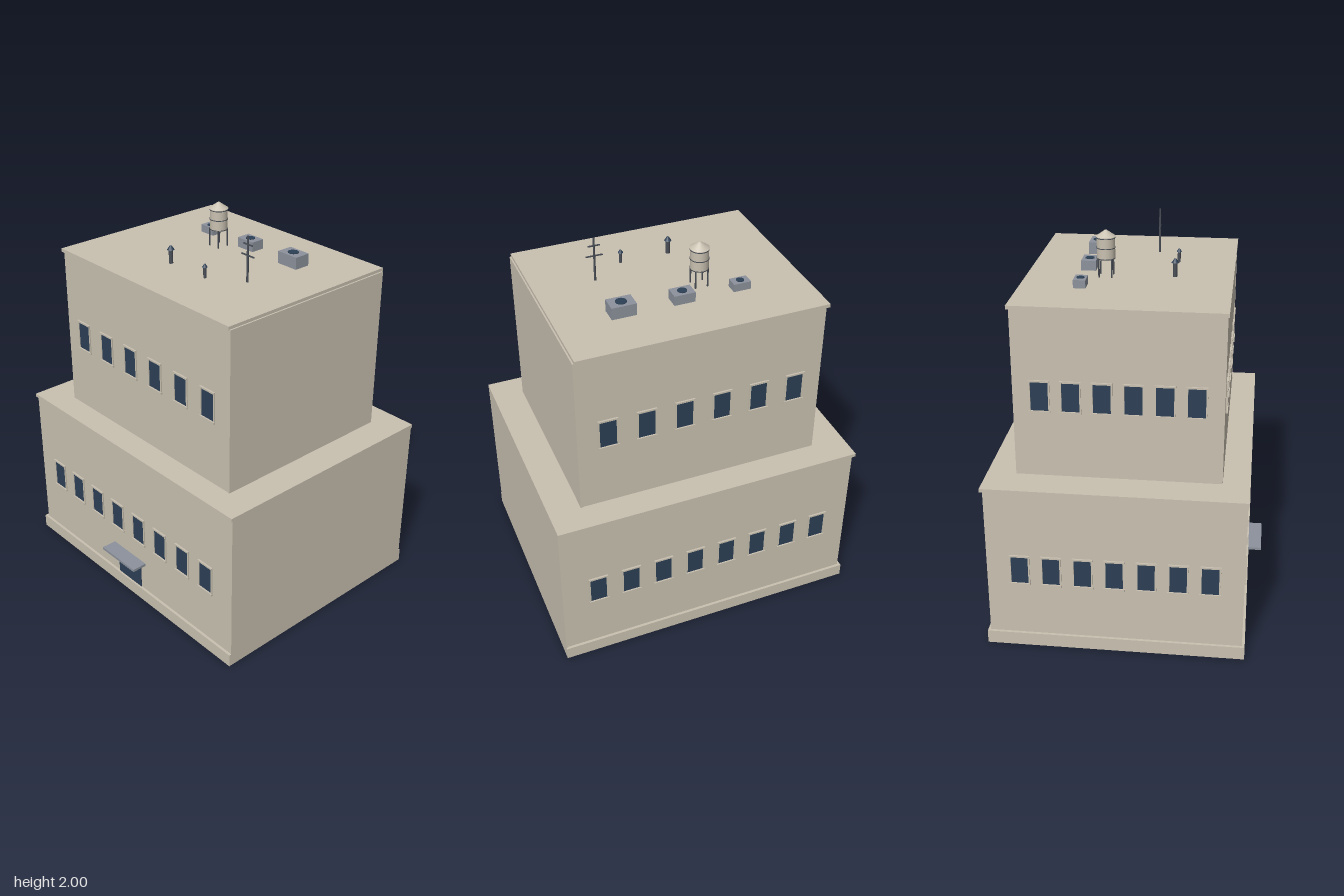
import * as THREE from 'three';

const mat = (name, color) => {
  const m = new THREE.MeshStandardMaterial({ color });
  m.name = name;
  return m;
};

export function createModel() {
  const stone = mat('stone', 0xc9c1b1);
  const glass = mat('dark glass', 0x2c3f55);
  const metal = mat('grey metal', 0x8c929c);
  const darkMetal = mat('dark metal', 0x4a4f57);

  const model = new THREE.Group();
  model.name = 'building';

  const add = (parent, name, geometry, material, x, y, z) => {
    const mesh = new THREE.Mesh(geometry, material);
    mesh.name = name;
    mesh.position.set(x, y, z);
    parent.add(mesh);
    return mesh;
  };
  // Box given by its limits on each axis
  const block = (parent, name, material, [x0, x1], [y0, y1], [z0, z1]) =>
    add(parent, name, new THREE.BoxGeometry(x1 - x0, y1 - y0, z1 - z0), material,
      (x0 + x1) / 2, (y0 + y1) / 2, (z0 + z1) / 2);
  const tube = (parent, name, material, r0, r1, y0, y1, x, z, sides = 12) =>
    add(parent, name, new THREE.CylinderGeometry(r1, r0, y1 - y0, sides), material, x, (y0 + y1) / 2, z);
  const group = (name, x = 0, y = 0, z = 0, parent = model) => {
    const g = new THREE.Group();
    g.name = name;
    g.position.set(x, y, z);
    parent.add(g);
    return g;
  };

  // Storey blocks, each with a cornice and a plain party wall on the left side
  block(model, 'plinth', stone, [-0.812, 0.808], [0, 0.07], [-0.688, 0.621]);
  block(model, 'lowerBody', stone, [-0.797, 0.8], [0.01, 0.88], [-0.674, 0.607]);
  block(model, 'lowerPartyWall', stone, [0.798, 0.808], [0.01, 0.885], [-0.678, 0.609]);
  block(model, 'lowerCornice', stone, [-0.81, 0.808], [0.872, 0.89], [-0.686, 0.614]);
  block(model, 'upperBody', stone, [-0.63, 0.636], [0.88, 1.755], [-0.54, 0.478]);
  block(model, 'upperPartyWall', stone, [0.634, 0.645], [0.88, 1.75], [-0.543, 0.48]);
  block(model, 'upperCornice', stone, [-0.644, 0.637], [1.747, 1.766], [-0.55, 0.484]);

  // One window facing +z, origin at the middle of the pane
  const windowAt = (row, x) => {
    const w = group('window', x, 0, 0, row);
    block(w, 'pane', glass, [-0.044, 0.044], [-0.074, 0.074], [-0.002, 0.002]);
    block(w, 'lintel', stone, [-0.051, 0.051], [0.074, 0.083], [-0.002, 0.009]);
    block(w, 'sill', stone, [-0.053, 0.053], [-0.085, -0.074], [-0.002, 0.01]);
    for (const s of [-1, 1])
      add(w, 'jamb', new THREE.BoxGeometry(0.008, 0.148, 0.008), stone, s * 0.047, 0, 0.002);
  };
  const windowRow = (name, count, spacing, x, y, z, turn) => {
    const row = group(name, x, y, z);
    row.rotation.y = turn;
    for (let i = 0; i < count; i++) windowAt(row, (i - (count - 1) / 2) * spacing);
  };
  windowRow('lowerFrontWindows', 8, 0.177, -0.004, 0.439, 0.607, 0);
  windowRow('lowerBackWindows', 8, 0.177, -0.004, 0.439, -0.674, Math.PI);
  windowRow('lowerSideWindows', 7, 0.158, -0.797, 0.439, -0.034, -Math.PI / 2);
  windowRow('upperFrontWindows', 6, 0.1955, 0, 1.312, 0.478, 0);
  windowRow('upperBackWindows', 6, 0.1955, 0, 1.312, -0.54, Math.PI);
  windowRow('upperSideWindows', 6, 0.151, -0.63, 1.312, -0.032, -Math.PI / 2);

  // Entrance
  block(model, 'door', glass, [-0.097, 0.093], [0.07, 0.217], [0.604, 0.611]);
  block(model, 'doorCanopy', metal, [-0.136, 0.132], [0.229, 0.243], [0.605, 0.688]);

  const roof = 1.766;

  // Rooftop cooling units with round fans
  for (const [x, width, height, depth, r] of [
    [-0.307, 0.09, 0.041, 0.061, 0.02],
    [-0.003, 0.109, 0.051, 0.076, 0.024],
    [0.306, 0.126, 0.063, 0.088, 0.028]]) {
    const unit = group('coolingUnit', x, roof, -0.252);
    block(unit, 'housing', metal, [-width / 2, width / 2], [0, height], [-depth / 2, depth / 2]);
    tube(unit, 'fan', glass, r, r, height, height + 0.003, 0, 0, 16);
  }

  // Water tower
  const tower = group('waterTower', -0.135, roof, -0.15);
  for (const sx of [-1, 1]) for (const sz of [-1, 1])
    tube(tower, 'leg', darkMetal, 0.004, 0.004, 0, 0.095, sx * 0.032, sz * 0.032, 6);
  tube(tower, 'tank', stone, 0.046, 0.046, 0.09, 0.203, 0, 0, 20);
  tube(tower, 'tankRoof', stone, 0.05, 0.006, 0.203, 0.234, 0, 0, 20);
  for (const y of [0.092, 0.145, 0.195])
    tube(tower, 'hoop', darkMetal, 0.048, 0.048, y, y + 0.004, 0, 0, 20);

  // Vent pipes with conical caps
  for (const [x, r, h] of [[-0.11, 0.011, 0.092], [0.146, 0.008, 0.071]]) {
    const vent = group('ventPipe', x, roof, 0.192);
    tube(vent, 'pipe', darkMetal, r, r, 0, h * 0.82, 0, 0);
    tube(vent, 'cap', glass, r * 1.7, r * 0.5, h * 0.78, h, 0, 0);
  }

  // Antenna mast
  const antenna = group('antenna', 0.322, roof, 0.075);
  tube(antenna, 'mast', darkMetal, 0.006, 0.005, 0, 0.234, 0, 0, 8);
  for (const [y, half] of [[0.136, 0.043], [0.191, 0.03]])
    block(antenna, 'crossbar', darkMetal, [-half, half], [y - 0.003, y + 0.003], [-0.003, 0.003]);

  return model;
}
